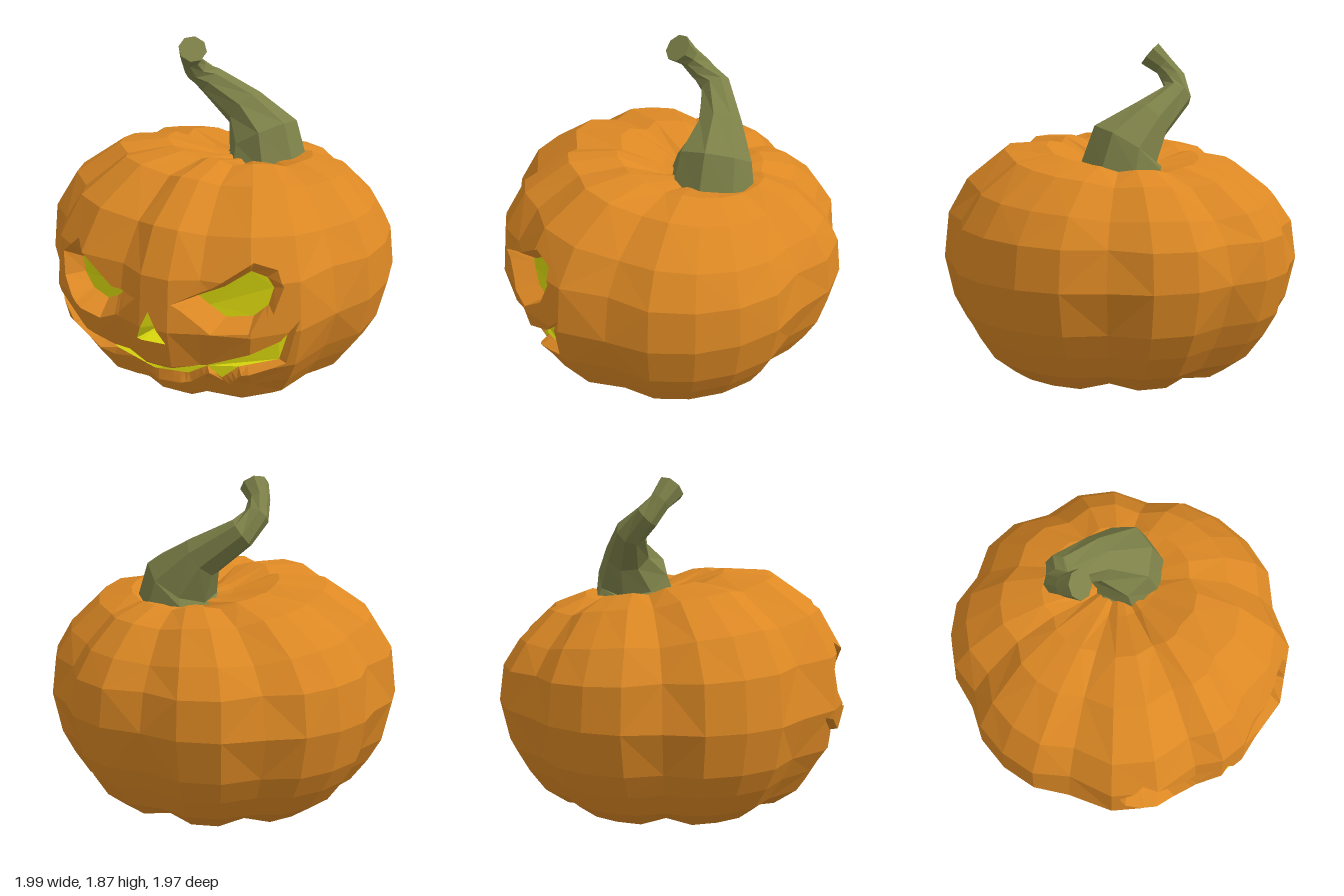
import * as THREE from 'three';

const orange = new THREE.MeshStandardMaterial({ color: 0xdc8824 });
orange.name = 'orange rind';
const yellow = new THREE.MeshStandardMaterial({ color: 0xdedc0e });
yellow.name = 'yellow glow';
const green = new THREE.MeshStandardMaterial({ color: 0x7d8148 });
green.name = 'green stem';

const V = (x, y, z) => new THREE.Vector3(x, y, z);

// Faceted mesh from convex polygons (arrays of Vector3), no shared corners
function polyMesh(name, polys, material) {
  const points = [];
  for (const p of polys) {
    for (let i = 1; i < p.length - 1; i++) {
      const [a, b, c] = [p[0], p[i], p[i + 1]];
      if (b.clone().sub(a).cross(c.clone().sub(a)).length() > 1e-8) points.push(a, b, c);
    }
  }
  const geo = new THREE.BufferGeometry().setFromPoints(points);
  geo.computeVertexNormals();
  const mesh = new THREE.Mesh(geo, material);
  mesh.name = name;
  return mesh;
}

// Creases between the lobes, going round from the back: angle in degrees, radius
const creases = [
  [-86, 0.945], [-45, 0.92], [25, 0.955], [70, 0.975], [97, 0.955], [142, 0.96], [190, 0.965], [236, 0.985],
];

// Widest outline from above: each lobe bulges between its two creases
function makeOutline() {
  const columns = [];
  creases.forEach(([a0, r0], i) => {
    const [a1, r1] = creases[i + 1] ?? [creases[0][0] + 360, creases[0][1]];
    const steps = Math.max(3, Math.round((a1 - a0) / 13));
    for (let k = 0; k < steps; k++) {
      const t = k / steps;
      const angle = THREE.MathUtils.degToRad(THREE.MathUtils.lerp(a0, a1, t));
      const bulge = Math.min(0.05, (a1 - a0) * 0.0011) * Math.sqrt(Math.sin(Math.PI * t));
      const radius = THREE.MathUtils.lerp(r0, r1, t) + bulge;
      columns.push({ x: radius * Math.cos(angle), z: radius * Math.sin(angle), crease: k === 0 });
    }
  });
  return columns;
}

// Rings from bottom to top: height, share of the outline
const rings = [
  [0.05, 0], [0.01, 0.42], [0.07, 0.66], [0.17, 0.79], [0.3, 0.88], [0.43, 0.95], [0.66, 1],
  [0.9, 0.97], [1.08, 0.86], [1.25, 0.65], [1.3, 0.42], [1.25, 0.2], [1.2, 0],
];

function rindPoint({ x, z, crease }, [h, s]) {
  const lean = THREE.MathUtils.clamp((h - 0.7) / 0.5, 0, 1);
  const low = THREE.MathUtils.clamp((0.55 - h) / 0.4, 0, 1);
  const ax = 0.1 * lean + 0.04 * low, az = -0.17 * lean;
  const k = s * (crease && s < 1 ? 0.975 : 1);
  const p = V(ax + (x - ax) * k, h, az + (z - az) * k);
  if (s > 0) p.y += 0.16 * (p.z - 0.2 * p.x) * Math.max(0, (h - 0.75) / 0.55); // top rises to the front
  if (crease && s > 0 && h > 1) p.y -= 0.025;
  if (crease && s > 0 && h < 0.1) p.y += 0.025;
  if (h === 0.3 && p.z > 0.6) p.z -= 0.02; // jaw sits back a little
  return p;
}

function rindTriangles() {
  const columns = makeOutline(), tris = [];
  for (let r = 0; r < rings.length - 1; r++) {
    columns.forEach((col, c) => {
      const next = columns[(c + 1) % columns.length];
      const a = rindPoint(col, rings[r]), b = rindPoint(next, rings[r]);
      const d = rindPoint(col, rings[r + 1]), e = rindPoint(next, rings[r + 1]);
      if ((r + c) % 2) tris.push([a, d, b], [b, d, e]);
      else tris.push([a, d, e], [a, e, b]);
    });
  }
  return tris;
}

// Rims of the openings, counter-clockwise from the front
const rightEyeRim = [
  [-0.53, 0.74], [-0.43, 0.63], [-0.25, 0.6], [-0.14, 0.66], [0, 0.8], [-0.17, 0.805], [-0.42, 0.99], [-0.55, 0.87],
];
const leftEyeRim = [
  [0.28, 0.745], [0.39, 0.66], [0.57, 0.68], [0.66, 0.77], [0.69, 0.905], [0.65, 0.985], [0.55, 1.03],
  [0.38, 0.9], [0.2, 0.81],
];
const noseRim = [[0, 0.57], [0.17, 0.58], [0.08, 0.75]];
const mouthRim = [
  [-0.64, 0.63], [-0.52, 0.42], [-0.26, 0.3], [0.01, 0.24], [0.22, 0.27], [0.33, 0.36], [0.41, 0.27],
  [0.5, 0.38], [0.7, 0.45], [0.765, 0.72], [0.69, 0.61], [0.34, 0.44], [0.13, 0.41], [-0.2, 0.43], [-0.4, 0.5],
];

// Back edges of the recesses: drawn towards a focus, or with the lower lip lifted
const glowZ = (x) => Math.sqrt(0.7 - 0.63 * x * x);
const towards = (fx, fy, t) => ([x, y]) => [x + (fx - x) * t, y + (fy - y) * t];
const lipLift = ([x, y]) => [x * 0.93, y + Math.max(0, 0.3 * (0.45 - y))];
const openings = [
  { name: 'rightEye', wall: orange, rim: rightEyeRim, shrink: towards(-0.33, 0.74, 0.35), depth: 0.01 },
  { name: 'leftEye', wall: orange, rim: leftEyeRim, shrink: towards(0.46, 0.81, 0.28), depth: 0.01 },
  { name: 'nose', wall: yellow, rim: noseRim, shrink: towards(0.09, 0.62, 0.95), depth: -0.03 },
  { name: 'mouth', wall: orange, rim: mouthRim, shrink: lipLift, depth: 0.025 },
];

// Signed side of p against the line a-b, seen from the front
const side = (a, b, p) => (b.x - a.x) * (p.y - a.y) - (b.y - a.y) * (p.x - a.x);
const area = (p) => Math.abs(p.reduce((s, v, i) => s + side(p[0], v, p[(i + 1) % p.length]), 0));

// Split a convex polygon along a line into [left, right]
function split(poly, a, b) {
  const left = [], right = [];
  poly.forEach((p, i) => {
    const q = poly[(i + 1) % poly.length];
    const sp = side(a, b, p), sq = side(a, b, q);
    if (sp >= -1e-9) left.push(p);
    if (sp <= 1e-9) right.push(p);
    if ((sp > 1e-9 && sq < -1e-9) || (sp < -1e-9 && sq > 1e-9)) {
      const m = p.clone().lerp(q, sp / (sp - sq));
      left.push(m);
      right.push(m);
    }
  });
  return [left, right];
}

// Cut one opening out of the rind; returns what is left, the recess walls and floor
function carve(polys, opening) {
  const rim = opening.rim.map(([x, y]) => new THREE.Vector2(x, y));
  const inner = opening.rim.map(opening.shrink).map(([x, y]) => V(x, y, glowZ(x) - opening.depth));
  const walls = [];
  const faces = THREE.ShapeUtils.triangulateShape(rim, []).map(([a, b, c]) =>
    side(rim[a], rim[b], rim[c]) < 0 ? [a, c, b] : [a, b, c]);
  for (const f of faces) {
    const next = [];
    for (const poly of polys) {
      let rest = poly.every((p) => p.z > 0.3) ? poly : [];
      const outside = [];
      for (let i = 0; i < 3 && rest.length > 2; i++) {
        const [left, right] = split(rest, rim[f[i]], rim[f[(i + 1) % 3]]);
        if (right.length > 2 && area(right) > 1e-9) outside.push(right);
        rest = left;
      }
      if (rest.length < 3 || area(rest) < 1e-9) {
        next.push(poly);
        continue;
      }
      next.push(...outside);
      // Rim edges of the removed piece become walls
      for (let i = 0; i < 3; i++) {
        const ia = f[i], ib = f[(i + 1) % 3];
        if ((ia + 1) % rim.length !== ib) continue;
        const a = rim[ia], b = rim[ib], len2 = a.distanceToSquared(b);
        const at = (p) => inner[ia].clone().lerp(inner[ib],
          ((p.x - a.x) * (b.x - a.x) + (p.y - a.y) * (b.y - a.y)) / len2);
        rest.forEach((p, k) => {
          const q = rest[(k + 1) % rest.length];
          const onRim = Math.abs(side(a, b, p)) < 1e-7 && Math.abs(side(a, b, q)) < 1e-7;
          if (onRim && p.distanceTo(q) > 1e-5) walls.push([p, q, at(q), at(p)]);
        });
      }
    }
    polys = next;
  }
  return { polys, walls, floor: faces.map((f) => f.map((i) => inner[i])) };
}

// Stem: rings along a bent path (x, y, z, radius)
const stemPath = [
  [0.16, 1.2, -0.2, 0.24], [0.14, 1.32, -0.215, 0.21], [0, 1.455, -0.255, 0.125], [-0.22, 1.59, -0.25, 0.085],
  [-0.275, 1.67, -0.17, 0.07], [-0.265, 1.75, -0.1, 0.06], [-0.215, 1.82, -0.035, 0.08],
];

function makeStem() {
  const pts = stemPath.map(([x, y, z]) => V(x, y, z)), sides = 8, last = pts.length - 1;
  const loops = pts.map((p, i) => {
    const dir = i === 0 ? V(0, 1, 0) : pts[Math.min(i + 1, last)].clone().sub(pts[i - 1]).normalize();
    const turn = new THREE.Quaternion().setFromUnitVectors(V(0, 1, 0), dir);
    return Array.from({ length: sides }, (_, k) => {
      const t = ((k + 0.5) / sides) * Math.PI * 2;
      return V(Math.cos(t), 0, Math.sin(t)).multiplyScalar(stemPath[i][3]).applyQuaternion(turn).add(p);
    });
  });
  const polys = [loops[0], [...loops[last]].reverse()];
  for (let i = 0; i < last; i++) {
    for (let k = 0; k < sides; k++) {
      const j = (k + 1) % sides;
      polys.push([loops[i][k], loops[i + 1][k], loops[i + 1][j], loops[i][j]]);
    }
  }
  return polyMesh('stem', polys, green);
}

export function createModel() {
  const model = new THREE.Group();
  model.name = 'carvedPumpkin';
  let rind = rindTriangles();
  for (const o of openings) {
    const { polys, walls, floor } = carve(rind, o);
    rind = polys;
    model.add(polyMesh(o.name + 'Wall', walls, o.wall), polyMesh(o.name + 'Glow', floor, yellow));
  }
  model.add(polyMesh('rind', rind, orange), makeStem());
  return model;
}
